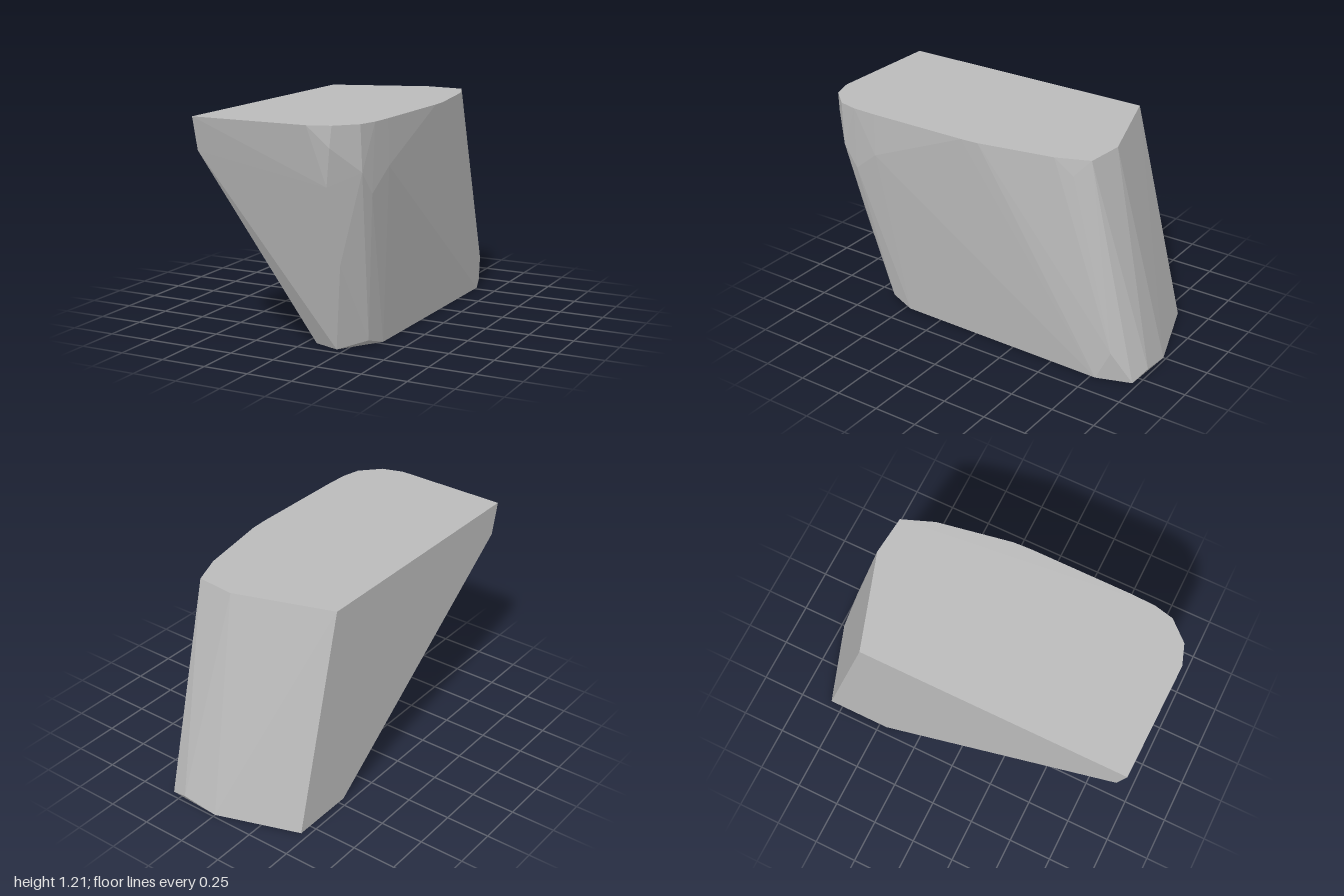
import * as THREE from 'three';
import { ConvexGeometry } from 'three/addons/geometries/ConvexGeometry.js';

// Faceted convex block: flat on top, bottom and one side, leaning forward
export function createModel() {
  const group = new THREE.Group();
  group.name = 'facetedBlock';
  const grey = new THREE.MeshStandardMaterial({ color: 0xbababa });
  grey.name = 'stone grey';

  // Flat top outline as x, z
  const top = [
    [-0.46, -0.52], [0.08, -0.70], [0.30, -0.68], [0.37, -0.50], [0.445, -0.08], [0.45, 0.02],
    [0.45, 0.60], [0.445, 0.74], [0.42, 0.85], [0.32, 0.96], [0.20, 1.0], [-0.46, 0.99],
  ];
  // Flat bottom outline as x, z
  const bottom = [
    [-0.46, -0.825], [0, -0.985], [0.31, -0.97], [0.375, -0.78],
    [0.36, 0.47], [0.205, 0.70], [0.06, 0.65], [-0.46, -0.455],
  ];
  // Worn corners between the two outlines as x, y, z
  const corners = [
    [-0.46, 1.03, 0.945],
    [0.31, 1.10, 0.965], [0.28, 0.90, 0.94], [0.29, 0.48, 0.82],
    [0.425, 0.97, 0.84], [0.435, 0.85, 0.75], [0.455, 0.97, 0.60], [0.34, 0.04, 0.60],
    [0.345, 1.12, -0.60], [0.36, 0.17, -0.86], [0.20, 0.04, -1.0],
  ];

  const points = [
    ...top.map(([x, z]) => new THREE.Vector3(x, 1.21, z)),
    ...bottom.map(([x, z]) => new THREE.Vector3(x, 0, z)),
    ...corners.map((p) => new THREE.Vector3(...p)),
  ];
  const block = new THREE.Mesh(new ConvexGeometry(points), grey);
  block.name = 'block';
  group.add(block);
  return group;
}
